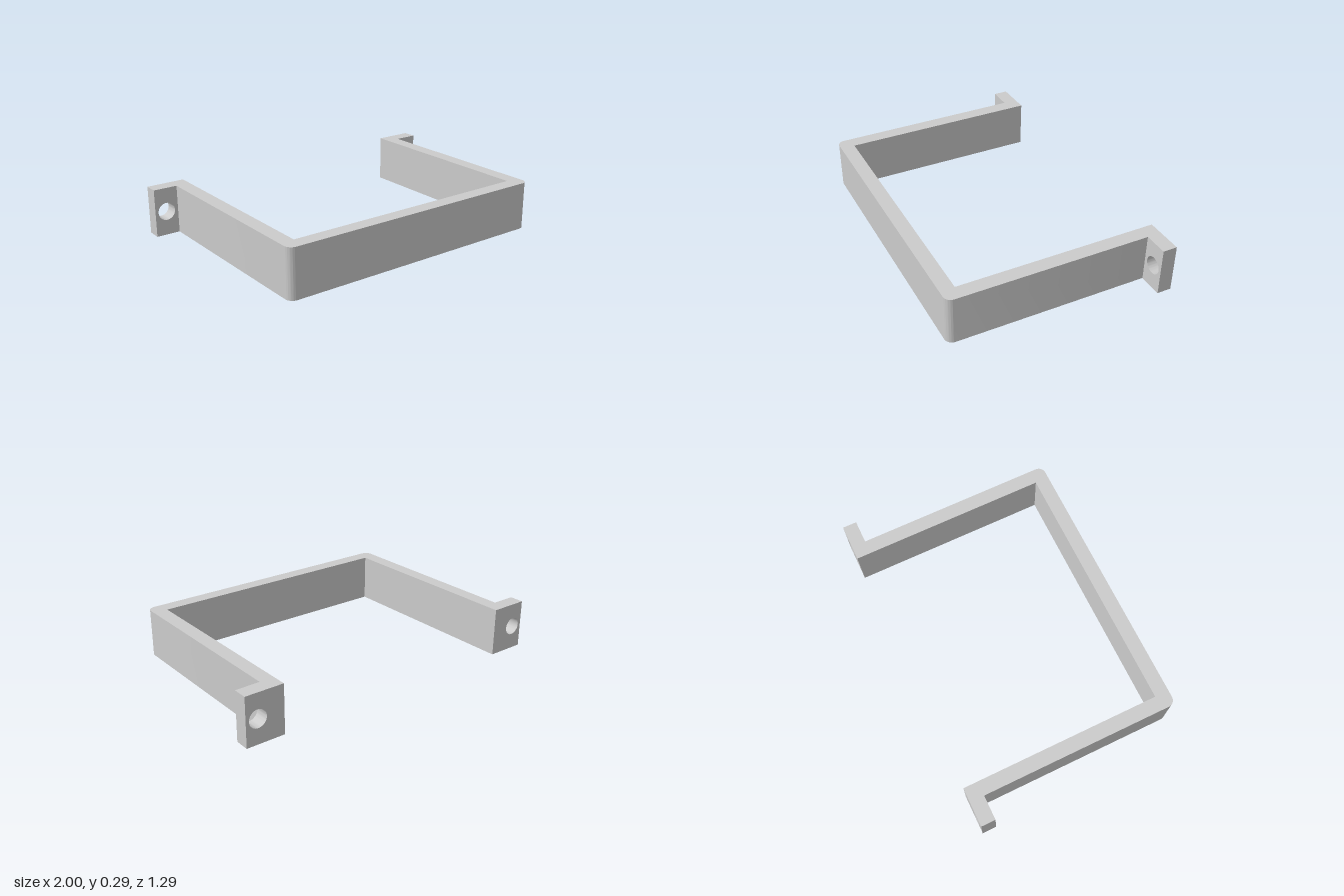
import * as THREE from 'three';
import { toCreasedNormals } from 'three/addons/utils/BufferGeometryUtils.js';

const HEIGHT = 0.29;
const DEPTH = 0.645;    // half depth, front to back
const OUTER = 0.855;    // half width over the arms
const WALL = 0.086;     // strap thickness
const RADIUS = 0.045;   // rounded outer front corners
const HOLE = 0.053;     // screw hole radius

const material = new THREE.MeshStandardMaterial({ color: 0xcccccc });

function extrude(shape, depth) {
  const geometry = new THREE.ExtrudeGeometry(shape, { depth, bevelEnabled: false, curveSegments: 24 });
  return geometry;
}

function addMesh(group, name, geometry) {
  const mesh = new THREE.Mesh(toCreasedNormals(geometry, Math.PI / 6), material);
  mesh.name = name;
  group.add(mesh);
}

export function createModel() {
  const group = new THREE.Group();
  group.name = 'mountingBracket';

  // U-shaped strap: plan outline (shape y = -z) extruded upwards
  const inner = OUTER - WALL;
  const plan = new THREE.Shape();
  plan.moveTo(-OUTER, DEPTH);
  plan.lineTo(-OUTER, -DEPTH + RADIUS);
  plan.absarc(-OUTER + RADIUS, -DEPTH + RADIUS, RADIUS, Math.PI, Math.PI * 1.5, false);
  plan.lineTo(OUTER - RADIUS, -DEPTH);
  plan.absarc(OUTER - RADIUS, -DEPTH + RADIUS, RADIUS, -Math.PI / 2, 0, false);
  plan.lineTo(OUTER, DEPTH);
  plan.lineTo(inner, DEPTH);
  plan.lineTo(inner, -DEPTH + WALL);
  plan.lineTo(-inner, -DEPTH + WALL);
  plan.lineTo(-inner, DEPTH);
  plan.closePath();
  addMesh(group, 'strap', extrude(plan, HEIGHT).rotateX(-Math.PI / 2));

  // Mounting tabs at the back, each with a screw hole
  for (const [side, name] of [[1, 'leftTab'], [-1, 'rightTab']]) {
    const x0 = Math.min(side * OUTER, side);
    const x1 = Math.max(side * OUTER, side);
    const face = new THREE.Shape();
    face.moveTo(x0, 0);
    face.lineTo(x1, 0);
    face.lineTo(x1, HEIGHT);
    face.lineTo(x0, HEIGHT);
    face.closePath();
    const hole = new THREE.Path();
    hole.absarc(side * 0.928, HEIGHT / 2, HOLE, 0, Math.PI * 2, true);
    face.holes.push(hole);
    addMesh(group, name, extrude(face, WALL).translate(0, 0, -DEPTH));
  }

  return group;
}
